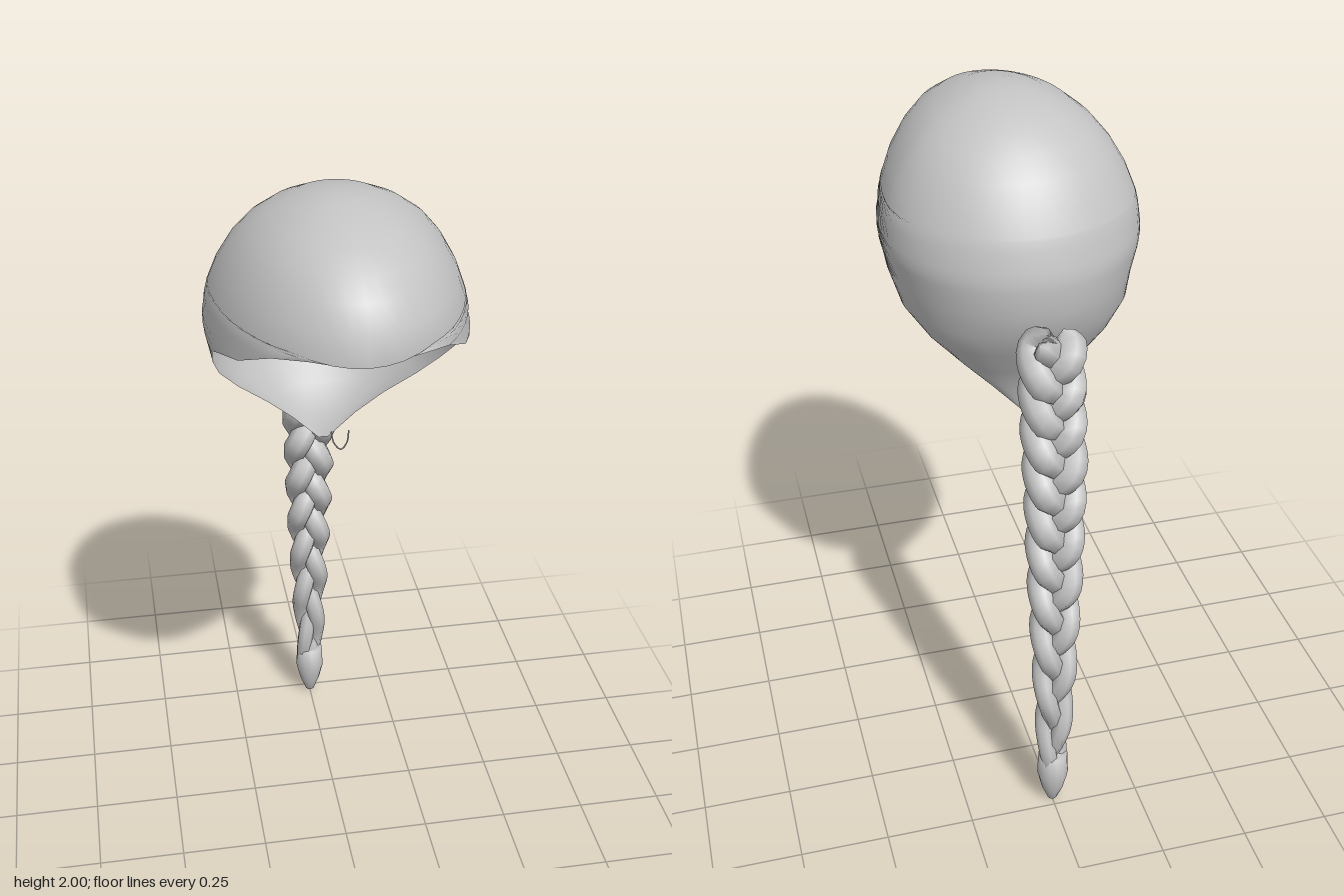
import * as THREE from 'three';
import { mergeVertices } from 'three/addons/utils/BufferGeometryUtils.js';

const hair = new THREE.MeshStandardMaterial({ color: 0xc4c4c4, side: THREE.DoubleSide });
hair.name = 'hair grey';

// Cap levels: height, half width, back z, centre z, front z, sweep from the back in degrees
const LEVELS = [
  [2.0, 0.0, 0.1, 0.1, 0.1, 180],
  [1.995, 0.06, 0.03, 0.1, 0.17, 180],
  [1.98, 0.115, -0.05, 0.08, 0.25, 180],
  [1.95, 0.178, -0.12, 0.07, 0.345, 180],
  [1.91, 0.23, -0.175, 0.05, 0.42, 180],
  [1.86, 0.272, -0.227, 0.04, 0.468, 180],
  [1.8, 0.307, -0.267, 0.03, 0.5, 180],
  [1.742, 0.329, -0.294, 0.02, 0.52, 180],
  [1.735, 0.332, -0.297, 0.02, 0.52, 155],
  [1.71, 0.338, -0.306, 0.02, 0.52, 140],
  [1.66, 0.345, -0.319, 0.02, 0.52, 124],
  [1.635, 0.345, -0.323, 0.02, 0.52, 111],
  [1.61, 0.342, -0.325, 0.02, 0.52, 103],
  [1.54, 0.327, -0.322, 0.03, 0.5, 93],
  [1.47, 0.305, -0.3, -0.02, 0.4, 90],
  [1.4, 0.25, -0.265, -0.07, 0.3, 90],
  [1.32, 0.165, -0.212, -0.12, 0.2, 90],
  [1.25, 0.09, -0.178, -0.145, 0.1, 90],
  [1.17, 0.012, -0.162, -0.158, 0, 90],
];

// Open shell made of horizontal arcs, each running round the back of the head
function capGeometry() {
  const cols = 48, pos = [], index = [];
  for (const [y, w, back, mid, front, sweep] of LEVELS) {
    for (let i = 0; i <= cols; i++) {
      const a = THREE.MathUtils.degToRad(sweep) * (2 * i / cols - 1);
      const c = -Math.cos(a);
      const z = mid + c * (c > 0 ? front - mid : mid - back);
      const dip = y < 1.75 ? 0.02 * Math.max(0, (z - 0.45) / 0.07) : 0; // brow dips in the middle
      pos.push(sweep === 180 && i % cols === 0 ? 0 : w * Math.sin(a), y - dip, z);
    }
  }
  for (let r = 0; r < LEVELS.length - 1; r++) {
    for (let i = 0; i < cols; i++) {
      const a = r * (cols + 1) + i, b = a + cols + 1;
      if (r > 0) index.push(a, a + 1, b);
      index.push(a + 1, b + 1, b);
    }
  }
  // Arcs run from -x to +x round the back, so flip to face outwards
  for (let i = 0; i < index.length; i += 3) [index[i + 1], index[i + 2]] = [index[i + 2], index[i + 1]];
  let g = new THREE.BufferGeometry();
  g.setAttribute('position', new THREE.Float32BufferAttribute(pos, 3));
  g.setIndex(index);
  g = mergeVertices(g, 1e-4);
  g.computeVertexNormals();
  // Keep normals pointing away from the head centre
  const p = g.attributes.position, n = g.attributes.normal;
  const k = Math.floor(p.count / 3);
  if (p.getX(k) * n.getX(k) + (p.getY(k) - 1.6) * n.getY(k) + p.getZ(k) * n.getZ(k) < 0) {
    const ix = g.index.array;
    for (let i = 0; i < ix.length; i += 3) [ix[i + 1], ix[i + 2]] = [ix[i + 2], ix[i + 1]];
    g.computeVertexNormals();
  }
  return g;
}

// One strand weaving in a figure of eight down the hanging spine
function strandGeometry(phase) {
  const spine = new THREE.CatmullRomCurve3([
    [1.52, -0.385], [1.35, -0.41], [1.15, -0.44], [0.85, -0.455], [0.5, -0.47], [0.16, -0.472],
  ].map(([y, z]) => new THREE.Vector3(0, y, z)));
  const pts = [];
  for (let i = 0; i <= 70; i++) {
    const s = i / 70, t = Math.PI * 2 * (3.4 * (1.45 * s - 0.45 * s * s)) + phase;
    const p = spine.getPointAt(s), narrow = 1 - 0.55 * s * s;
    p.x += 0.046 * narrow * Math.sin(t);
    p.z += 0.032 * narrow * Math.sin(2 * t);
    pts.push(p);
  }
  const curve = new THREE.CatmullRomCurve3(pts);
  const segs = 110, sides = 7;
  const g = new THREE.TubeGeometry(curve, segs, 1, sides);
  const p = g.attributes.position, v = new THREE.Vector3();
  for (let r = 0; r <= segs; r++) {
    const s = r / segs, c = curve.getPointAt(s);
    const radius = (0.043 - 0.019 * s * s) * Math.sqrt(Math.min(1, s / 0.025));
    for (let j = 0; j <= sides; j++) {
      const k = r * (sides + 1) + j;
      v.fromBufferAttribute(p, k).sub(c).multiplyScalar(radius).add(c);
      p.setXYZ(k, v.x, v.y, v.z);
    }
  }
  return g;
}

export function createModel() {
  const model = new THREE.Group();
  model.name = 'braidedHair';
  const add = (parent, name, geometry) => {
    const mesh = new THREE.Mesh(geometry, hair);
    mesh.name = name;
    parent.add(mesh);
    return mesh;
  };

  add(model, 'hairCap', capGeometry());

  // Three-strand braid
  const braid = new THREE.Group();
  braid.name = 'braid';
  model.add(braid);
  for (let i = 0; i < 3; i++) add(braid, 'strand' + (i + 1), strandGeometry(i * Math.PI * 2 / 3));

  // Tapered tuft below the braid
  const tuft = [[0, 0], [0.014, 0.008], [0.032, 0.055], [0.045, 0.11], [0.042, 0.185], [0, 0.19]];
  add(braid, 'tuft', new THREE.LatheGeometry(tuft.map(([r, y]) => new THREE.Vector2(r, y)), 14))
    .position.z = -0.472;

  // Tiny loose wisp under the cap
  const wisp = new THREE.CatmullRomCurve3([
    [-0.024, 1.34, 0.118], [-0.018, 1.31, 0.127], [0, 1.292, 0.134], [0.018, 1.31, 0.127], [0.024, 1.34, 0.118],
  ].map((p) => new THREE.Vector3(...p)));
  add(model, 'wisp', new THREE.TubeGeometry(wisp, 12, 0.002, 4));

  return model;
}
